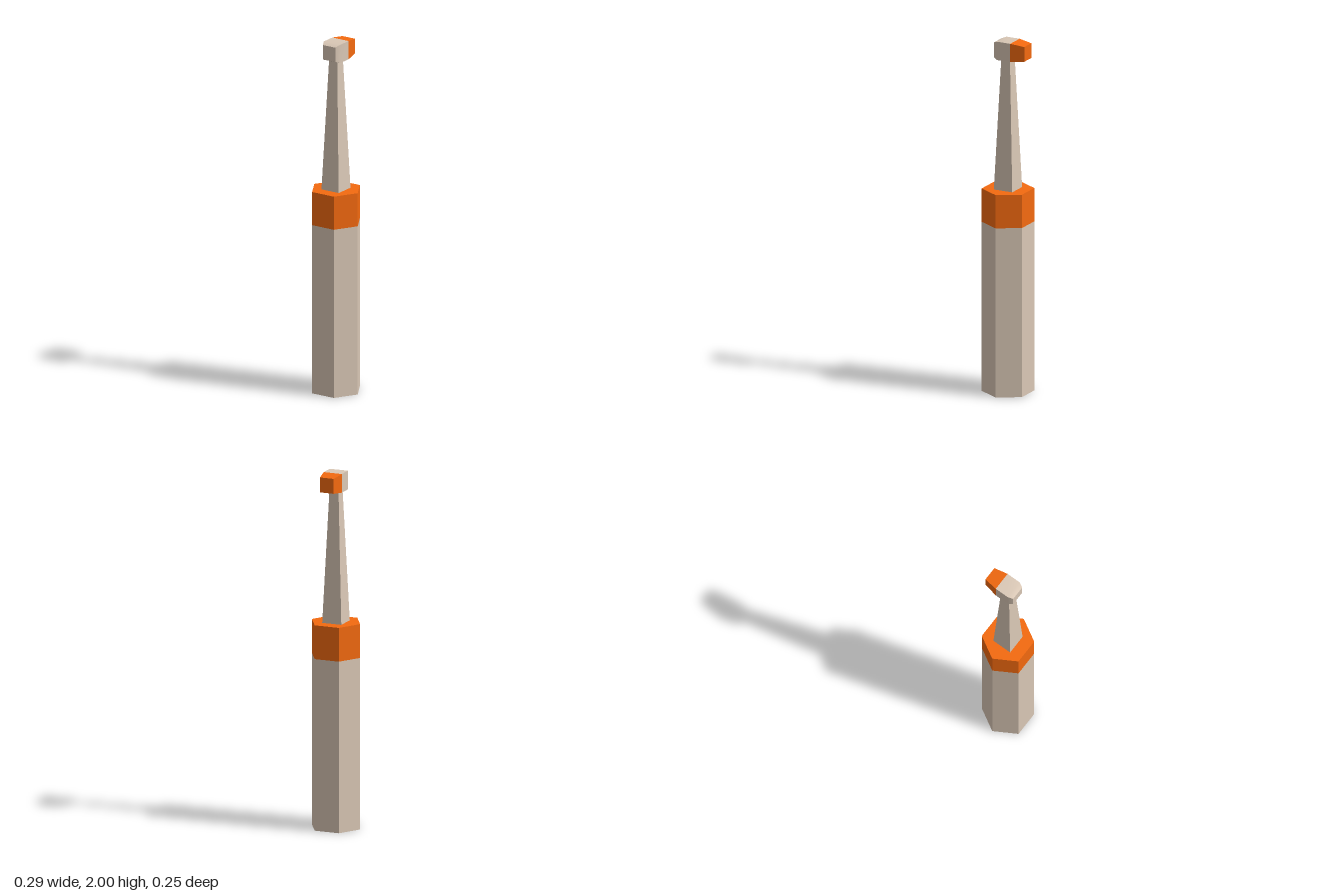
import * as THREE from 'three';

const beige = new THREE.MeshStandardMaterial({ color: 0xdac8b6, side: THREE.DoubleSide });
const orange = new THREE.MeshStandardMaterial({ color: 0xf46a10, side: THREE.DoubleSide });
beige.name = 'beige';
orange.name = 'orange';

// Straight or tapered prism with flat sides, open at both ends
function prism(name, sides, rTop, rBottom, y0, y1, material) {
  const geo = new THREE.CylinderGeometry(rTop, rBottom, y1 - y0, sides, 1, true)
    .rotateY(Math.PI / sides).translate(0, (y0 + y1) / 2, 0).toNonIndexed();
  geo.computeVertexNormals();
  const mesh = new THREE.Mesh(geo, material);
  mesh.name = name;
  return mesh;
}

// Box whose rectangular sections follow [z, halfWidth, halfHeight], from back to front
function taperedBox(name, sections, y, material) {
  const n = sections.length - 1;
  const geo = new THREE.BoxGeometry(2, 2, n, 1, 1, n);
  const p = geo.attributes.position;
  for (let i = 0; i < p.count; i++) {
    const [z, w, h] = sections[Math.round(p.getZ(i) + n / 2)];
    p.setXYZ(i, p.getX(i) * w, p.getY(i) * h, z);
  }
  geo.computeVertexNormals();
  const mesh = new THREE.Mesh(geo, material);
  mesh.name = name;
  mesh.position.y = y;
  return mesh;
}

export function createModel() {
  const group = new THREE.Group();
  group.name = 'electricToothbrush';
  const R = 0.144, bandY = 0.965, topY = 1.155, headY = 1.9475;

  // Hexagonal handle, hollow from below, with a coloured band
  group.add(prism('handle', 6, R, R, 0, bandY, beige));
  group.add(prism('handleBand', 6, R, R, bandY, topY, orange));
  const lid = new THREE.Mesh(new THREE.CircleGeometry(R, 6).rotateX(-Math.PI / 2), orange);
  lid.name = 'handleTop';
  lid.position.y = topY;
  group.add(lid);

  // Square tapering neck
  group.add(prism('neck', 4, 0.027 * Math.SQRT2, 0.057 * Math.SQRT2, topY, 1.9, beige));

  // Head with bevelled front, and bristles pointing back
  group.add(taperedBox('head', [[-0.043, 0.054, 0.0525], [0.039, 0.054, 0.0525], [0.066, 0.041, 0.041]], headY, beige));
  group.add(taperedBox('bristles', [[-0.123, 0.041, 0.042], [-0.043, 0.054, 0.0525]], headY, orange));
  return group;
}
